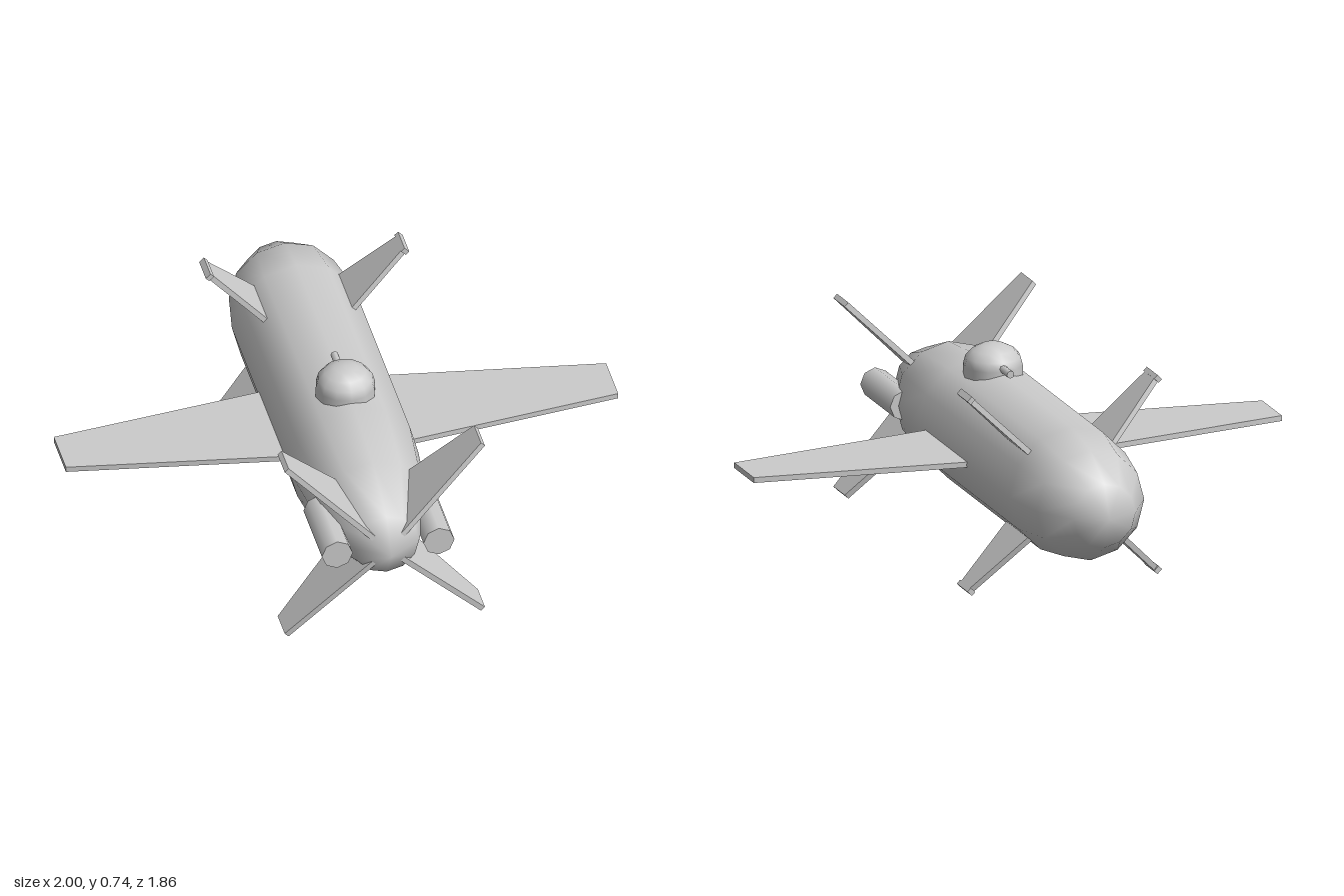
import * as THREE from 'three';

const AXIS_Y = 0.37;
const RADIUS = 0.235;
const material = new THREE.MeshStandardMaterial({ color: 0xcccccc });

function add(parent, name, geometry, x = 0, y = 0, z = 0) {
  const mesh = new THREE.Mesh(geometry, material);
  mesh.name = name;
  mesh.position.set(x, y, z);
  parent.add(mesh);
  return mesh;
}

// Half ellipsoid pointing up +y
function dome(radius, height, sides, rings) {
  return new THREE.SphereGeometry(1, sides, rings, 0, Math.PI * 2, 0, Math.PI / 2)
    .scale(radius, height, radius);
}

// Cylinder lying along z
function rod(radius, length, sides) {
  return new THREE.CylinderGeometry(radius, radius, length, sides).rotateX(Math.PI / 2);
}

// Flat tapered plate from [span, z] corners, lying in the xz plane
function plate(corners, thickness) {
  const shape = new THREE.Shape(corners.map(([s, z]) => new THREE.Vector2(s, z)));
  return new THREE.ExtrudeGeometry(shape, { depth: thickness, bevelEnabled: false })
    .translate(0, 0, -thickness / 2)
    .rotateX(Math.PI / 2);
}

export function createModel() {
  const model = new THREE.Group();
  model.name = 'submarine';

  // Hull on a central axis: short round end at -z, long tapered end at +z
  const hull = new THREE.Group();
  hull.name = 'hull';
  hull.position.y = AXIS_Y;
  model.add(hull);
  const tube = new THREE.CylinderGeometry(RADIUS, RADIUS, 0.89, 12, 1, true).rotateX(Math.PI / 2);
  add(hull, 'hullTube', tube, 0, 0, -0.115);
  add(hull, 'roundEnd', dome(RADIUS, 0.37, 12, 3).rotateX(-Math.PI / 2), 0, 0, -0.56);
  add(hull, 'taperedEnd', dome(RADIUS, 0.6, 12, 3).rotateX(Math.PI / 2), 0, 0, 0.33);

  // Wings and engine pods on both sides
  const wing = plate([[0.19, -0.15], [1, -0.04], [1, 0.15], [0.19, 0.265]], 0.02);
  for (const side of [1, -1]) {
    const label = side > 0 ? 'left' : 'right';
    add(hull, label + 'Wing', wing).rotation.z = side > 0 ? 0 : Math.PI;
    add(hull, label + 'Engine', rod(0.056, 0.29, 8), side * 0.184, 0, 0.728);
  }

  // Two sets of four diagonal fins
  const aftFin = plate([[0.06, 0.585], [0.503, 0.71], [0.503, 0.82], [0.06, 0.88]], 0.02);
  const foreFin = plate([[0.21, -0.57], [0.5, -0.485], [0.5, -0.4], [0.21, -0.355]], 0.02);
  const finCap = new THREE.BoxGeometry(0.018, 0.024, 0.104);
  for (let i = 0; i < 4; i++) {
    const fins = new THREE.Group();
    fins.name = 'diagonalFins' + (i + 1);
    fins.rotation.z = Math.PI / 4 + i * Math.PI / 2;
    hull.add(fins);
    add(fins, 'taperedEndFin', aftFin);
    add(fins, 'roundEndFin', foreFin);
    add(fins, 'finTipCap', finCap, 0.5, 0, -0.443);
  }

  // Turret on top with a short barrel
  const turret = new THREE.Group();
  turret.name = 'turret';
  turret.position.set(0, 0, 0.2);
  model.add(turret);
  add(turret, 'turretBase', new THREE.CylinderGeometry(0.107, 0.107, 0.06, 12), 0, 0.585, 0);
  add(turret, 'turretDome', dome(0.107, 0.08, 12, 4), 0, 0.615, 0);
  add(turret, 'turretBarrel', rod(0.014, 0.12, 8), 0, 0.625, -0.11);

  return model;
}
